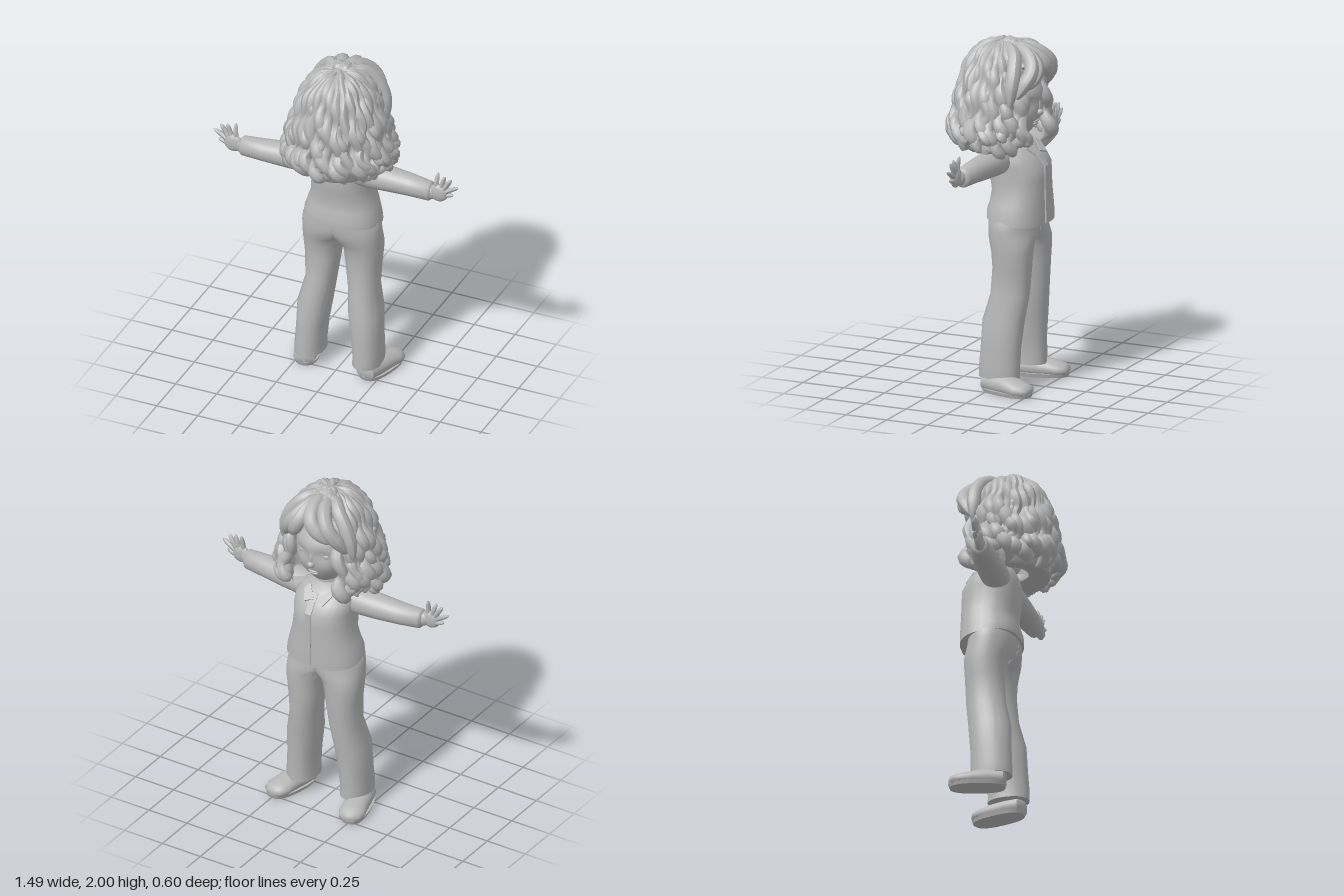
import * as THREE from 'three';
import { toCreasedNormals } from 'three/addons/utils/BufferGeometryUtils.js';

const V = (x, y, z) => new THREE.Vector3(x, y, z);

let seed = 7;
const rand = () => (seed = (seed * 16807) % 2147483647) / 2147483647;

// Skin through stacked superellipses; rows are [height, cx, cz, rx, rz]
function loft(rows, n = 2, seg = 28) {
  const pos = [], idx = [];
  const pw = v => Math.sign(v) * Math.abs(v) ** (2 / n);
  for (const [h, cx, cz, rx, rz] of rows)
    for (let j = 0; j < seg; j++) {
      const a = j / seg * Math.PI * 2;
      pos.push(cx + rx * pw(Math.cos(a)), h, cz + rz * pw(Math.sin(a)));
    }
  for (let i = 0; i < rows.length - 1; i++)
    for (let j = 0; j < seg; j++) {
      const a = i * seg + j, b = i * seg + (j + 1) % seg;
      idx.push(a, a + seg, b, b, a + seg, b + seg);
    }
  const first = rows[0], last = rows[rows.length - 1], top = (rows.length - 1) * seg, c = rows.length * seg;
  pos.push(first[1], first[0], first[2], last[1], last[0], last[2]);
  for (let j = 0; j < seg; j++) {
    const k = (j + 1) % seg;
    idx.push(c, j, k, c + 1, top + k, top + j);
  }
  const g = new THREE.BufferGeometry();
  g.setAttribute('position', new THREE.Float32BufferAttribute(pos, 3));
  g.setIndex(idx);
  return g;
}

// Tube whose radius follows a function of its length
function taperTube(points, radius, steps = 24, sides = 8) {
  const curve = new THREE.CatmullRomCurve3(points);
  const g = new THREE.TubeGeometry(curve, steps, 1, sides);
  const p = g.attributes.position, v = V();
  for (let i = 0; i < p.count; i++) {
    const t = Math.floor(i / (sides + 1)) / steps, c = curve.getPointAt(t);
    v.fromBufferAttribute(p, i).sub(c).multiplyScalar(radius(t)).add(c);
    p.setXYZ(i, v.x, v.y, v.z);
  }
  g.computeVertexNormals();
  return g;
}

export function createModel() {
  const model = new THREE.Group();
  const clay = new THREE.MeshStandardMaterial({ color: 0xb6b6b6, side: THREE.DoubleSide });
  clay.name = 'clay grey';
  const add = (name, geo, parent = model) => {
    const m = new THREE.Mesh(geo, clay);
    m.name = name;
    parent.add(m);
    return m;
  };
  const blob = (name, x, y, z, rx, ry, rz, parent) => {
    const m = add(name, new THREE.SphereGeometry(1, 20, 14), parent);
    m.position.set(x, y, z);
    m.scale.set(rx, ry, rz);
  };
  const smooth = g => toCreasedNormals(g, 0.9);

  // Shirt, with the hem dipping towards the front (-z)
  const shirt = loft([
    [0.975, 0, -0.1, 0.224, 0.168], [1.02, 0, -0.1, 0.218, 0.168], [1.07, 0, -0.106, 0.2, 0.16],
    [1.13, 0, -0.109, 0.182, 0.156], [1.2, 0, -0.102, 0.175, 0.162], [1.28, 0, -0.098, 0.174, 0.164],
    [1.34, 0, -0.08, 0.178, 0.14], [1.39, 0, -0.067, 0.15, 0.108], [1.425, 0, -0.06, 0.085, 0.08]], 2.4);
  const sp = shirt.attributes.position;
  for (let i = 0; i < sp.count; i++)
    if (sp.getY(i) < 1.05) sp.setY(i, sp.getY(i) + sp.getZ(i) * 0.11);
  add('shirt', smooth(shirt));

  // Overlapping front edge of the shirt
  const front = [[0.95, -0.268], [1.02, -0.268], [1.13, -0.265], [1.2, -0.264], [1.28, -0.262], [1.34, -0.22], [1.38, -0.182]];
  const edge = new THREE.Shape(front.map(([y, z]) => new THREE.Vector2(-z + 0.005, y))
    .concat(front.slice().reverse().map(([y, z]) => new THREE.Vector2(-z - 0.02, y))));
  const placket = add('shirtPlacket', new THREE.ExtrudeGeometry(edge, { depth: 0.04, bevelEnabled: false }));
  placket.rotation.y = Math.PI / 2;
  placket.position.x = -0.005;

  // Neck and head, narrowing to the chin
  add('neck', smooth(loft([[1.36, 0.01, -0.065, 0.072, 0.07], [1.52, 0.015, -0.06, 0.065, 0.065]])));
  const headGeo = new THREE.SphereGeometry(1, 40, 32);
  const hp = headGeo.attributes.position;
  const bump = (d, w) => Math.exp(-d * d * w);
  for (let i = 0; i < hp.count; i++) {
    const x = hp.getX(i), y = hp.getY(i), z = hp.getZ(i);
    const k = y < 0 ? 1 - 0.28 * y * y : 1;
    // brow and cheeks stand out, eye sockets sink in
    const relief = z > 0 ? 0 : 0.008 * bump(y - 0.3, 30)
      - 0.014 * bump(y - 0.06, 50) * bump(Math.abs(x) - 0.4, 20) + 0.008 * bump(y + 0.35, 20) * bump(Math.abs(x) - 0.5, 15);
    hp.setXYZ(i, 0.02 + x * 0.17 * k, 1.635 + y * 0.22, -0.065 + z * 0.163 * k ** 0.4 - relief);
  }
  headGeo.computeVertexNormals();
  add('head', headGeo);
  const face = new THREE.Group();
  face.name = 'face';
  model.add(face);
  blob('nose', 0.02, 1.585, -0.225, 0.021, 0.02, 0.022, face);
  blob('noseBridge', 0.02, 1.62, -0.22, 0.013, 0.045, 0.014, face);
  blob('upperLip', 0.02, 1.532, -0.203, 0.034, 0.008, 0.013, face);
  blob('lowerLip', 0.02, 1.517, -0.198, 0.028, 0.009, 0.013, face);
  for (const s of [-1, 1]) blob('eye', 0.02 + s * 0.068, 1.642, -0.185, 0.034, 0.02, 0.02, face);

  for (const s of [-1, 1]) {
    const side = s > 0 ? 'left' : 'right';

    // Flared trouser leg, widening at the top into half of the hips
    const leg = loft([
      [0.08, 0.175, -0.053, 0.082, 0.118], [0.13, 0.177, -0.053, 0.082, 0.118], [0.25, 0.168, -0.058, 0.084, 0.116],
      [0.4, 0.155, -0.068, 0.094, 0.12], [0.55, 0.13, -0.096, 0.084, 0.112], [0.7, 0.123, -0.106, 0.1, 0.11],
      [0.79, 0.122, -0.106, 0.111, 0.115], [0.84, 0.11, -0.1, 0.124, 0.122], [0.88, 0.07, -0.091, 0.164, 0.13],
      [0.92, 0.02, -0.085, 0.213, 0.136], [0.96, 0, -0.084, 0.229, 0.138], [1, 0, -0.086, 0.212, 0.14]]
      .map(([y, x, z, a, b]) => [y, s * x, z, a, b]), 2.2, 40);
    const lp = leg.attributes.position;
    for (let i = 0; i < lp.count; i++) lp.setX(i, s * Math.max(s * lp.getX(i), 0));
    add(side + 'Leg', smooth(leg));

    // Shoe, turned outwards, with a flat bottom and a thin sole
    const shoe = new THREE.Group();
    shoe.name = side + 'Shoe';
    shoe.position.x = s * 0.19;
    shoe.rotation.y = -s * 0.24;
    model.add(shoe);
    const upper = loft([[-0.035, 0, 0.05, 0.035, 0.03], [-0.02, 0, 0.05, 0.06, 0.055], [0.06, 0, 0.05, 0.068, 0.062],
      [0.15, 0, 0.045, 0.07, 0.055], [0.22, 0, 0.038, 0.075, 0.046], [0.265, 0, 0.036, 0.06, 0.036],
      [0.285, 0, 0.036, 0.03, 0.018]]).rotateX(-Math.PI / 2);
    const up = upper.attributes.position;
    for (let i = 0; i < up.count; i++) up.setY(i, Math.max(up.getY(i), 0.012));
    add('upper', smooth(upper), shoe);
    add('sole', smooth(loft([[0, 0, -0.125, 0.07, 0.155], [0.022, 0, -0.125, 0.077, 0.163]], 2.6)), shoe);

    // Sleeve, lofted upright and then laid sideways
    const sleeve = loft([[0.1, 0, -0.04, 0.078, 0.078], [0.2, 0, -0.035, 0.078, 0.08], [0.32, -0.002, -0.03, 0.071, 0.076],
      [0.45, -0.003, -0.022, 0.063, 0.066], [0.57, 0, -0.012, 0.058, 0.052], [0.582, 0, -0.012, 0.045, 0.04]])
      .rotateZ(-s * Math.PI / 2).translate(0, 1.32, 0);
    add(side + 'Sleeve', smooth(sleeve));

    // Hand with spread fingers
    const hand = new THREE.Group();
    hand.name = side + 'Hand';
    model.add(hand);
    blob('palm', s * 0.625, 1.33, 0, 0.057, 0.054, 0.024, hand);
    blob('wrist', s * 0.58, 1.32, -0.005, 0.04, 0.042, 0.03, hand);
    const fingers = [[0.61, 1.35, 0.617, 1.452], [0.635, 1.355, 0.665, 1.442], [0.65, 1.35, 0.705, 1.432],
      [0.655, 1.338, 0.745, 1.39], [0.65, 1.315, 0.715, 1.335]];
    fingers.forEach(([x0, y0, x1, y1], i) => add('finger',
      taperTube([V(s * x0, y0, 0), V(s * (x0 + x1) / 2, (y0 + y1) / 2, -0.004), V(s * x1, y1, i ? 0 : -0.015)],
        t => 0.016 * Math.sqrt(1.02 - t ** 6) * (1 - 0.25 * t), 12), hand));

    // Pointed collar flap
    const flap = new THREE.Shape([[0.01, -0.005], [0.07, 0.08], [0.09, 0.04], [0.06, -0.03]]
      .map(([x, y]) => new THREE.Vector2(s * x, y)));
    const collar = add(side + 'Collar', new THREE.ExtrudeGeometry(flap, { depth: 0.009, bevelEnabled: false }));
    collar.position.set(0, 1.36, -0.212);
    collar.rotation.x = 0.85;
  }

  // Hair: an inner shell, then wavy curls following its outline
  const hair = new THREE.Group();
  hair.name = 'hair';
  model.add(hair);
  const outline = new THREE.SplineCurve([[0.02, 1.995], [0.1, 1.975], [0.165, 1.925], [0.212, 1.85], [0.242, 1.75],
    [0.26, 1.65], [0.278, 1.55], [0.283, 1.47], [0.25, 1.385]].map(p => new THREE.Vector2(...p)));
  const shell = (name, t0, t1, gap) => {
    const pts = [];
    for (let i = 0; i <= 16; i++) {
      const p = outline.getPoint(t0 + (t1 - t0) * i / 16);
      pts.push(new THREE.Vector2(Math.max(p.x - 0.035, 0), p.y - 0.015));
    }
    if (t1 === 1) pts.push(new THREE.Vector2(0.1, 1.4));
    const g = new THREE.LatheGeometry(pts.reverse(), 40, -Math.PI + gap, 2 * (Math.PI - gap));
    add(name, g.translate(0.025, 0, 0), hair);
  };
  shell('crownShell', 0, 0.4, 0);
  shell('lowerShell', 0.38, 1, 0.75);

  // The curls fan out sideways towards their ends
  const curl = (angle, t0, t1, lift, size) => {
    const pts = [], ph = rand() * 6.28, waves = 24 + rand() * 8;
    for (let i = 0; i <= 30; i++) {
      const t = t0 + (t1 - t0) * i / 30, p = outline.getPoint(t), w = 0.15 + 0.85 * t * Math.sqrt(t);
      const a = angle + 0.1 * w * Math.sin(waves * t + ph);
      const r = p.x - 0.026 + lift + 0.02 * w * Math.cos(waves * t + ph);
      pts.push(V(0.022 + 0.008 * t + r * (1 + 0.17 * t * t) * Math.sin(a), p.y - 0.016, r * Math.cos(a)));
    }
    add('curl', taperTube(pts, t => size * (0.6 + 0.4 * Math.min(1, t * 2)) * (1 + 0.15 * Math.sin(t * 22 + ph))
      * Math.sqrt(Math.max(0.02, Math.min(1, (1 - t) * 14, t * 12 + 0.1))), 52, 8), hair);
  };
  for (let i = 0; i < 24; i++) {
    const a = -2.42 + 4.84 * i / 23;
    curl(a, 0.03 + rand() * 0.08, 0.93 + rand() * 0.07, 0, 0.036);
    if (i % 2) curl(a + 0.1, 0.3 + rand() * 0.2, 0.82 + rand() * 0.14, 0.01, 0.03);
  }
  for (let i = 0; i < 9; i++) curl(2.5 + 1.28 * i / 8, 0.03, 0.32 + rand() * 0.05, 0, 0.034);

  // Swept fringe: side locks, then a broad lock across the forehead
  const lock = (pts, size) => add('fringeLock', taperTube(pts.map(p => V(...p)),
    t => size * Math.sqrt(Math.max(0.02, Math.min(1, t * 4 + 0.2, (1 - t) * 4))), 26, 10), hair);
  for (const s of [-1, 1]) {
    const x = d => 0.02 + s * d;
    lock([[x(0.02), 1.95, -0.06], [x(0.06), 1.92, -0.18], [x(0.115), 1.85, -0.232], [x(0.17), 1.76, -0.2], [x(0.2), 1.69, -0.165]], 0.042);
    lock([[x(0.03), 1.95, -0.03], [x(0.11), 1.925, -0.12], [x(0.18), 1.84, -0.15], [x(0.215), 1.74, -0.15], [x(0.23), 1.65, -0.15]], 0.04);
  }
  lock([[0.03, 1.95, -0.05], [0.04, 1.93, -0.17], [0.01, 1.875, -0.24], [-0.05, 1.81, -0.243], [-0.11, 1.76, -0.222]], 0.044);
  lock([[0.04, 1.95, -0.06], [0.07, 1.92, -0.18], [0.09, 1.86, -0.242], [0.125, 1.79, -0.235], [0.16, 1.74, -0.205]], 0.042);
  return model;
}
